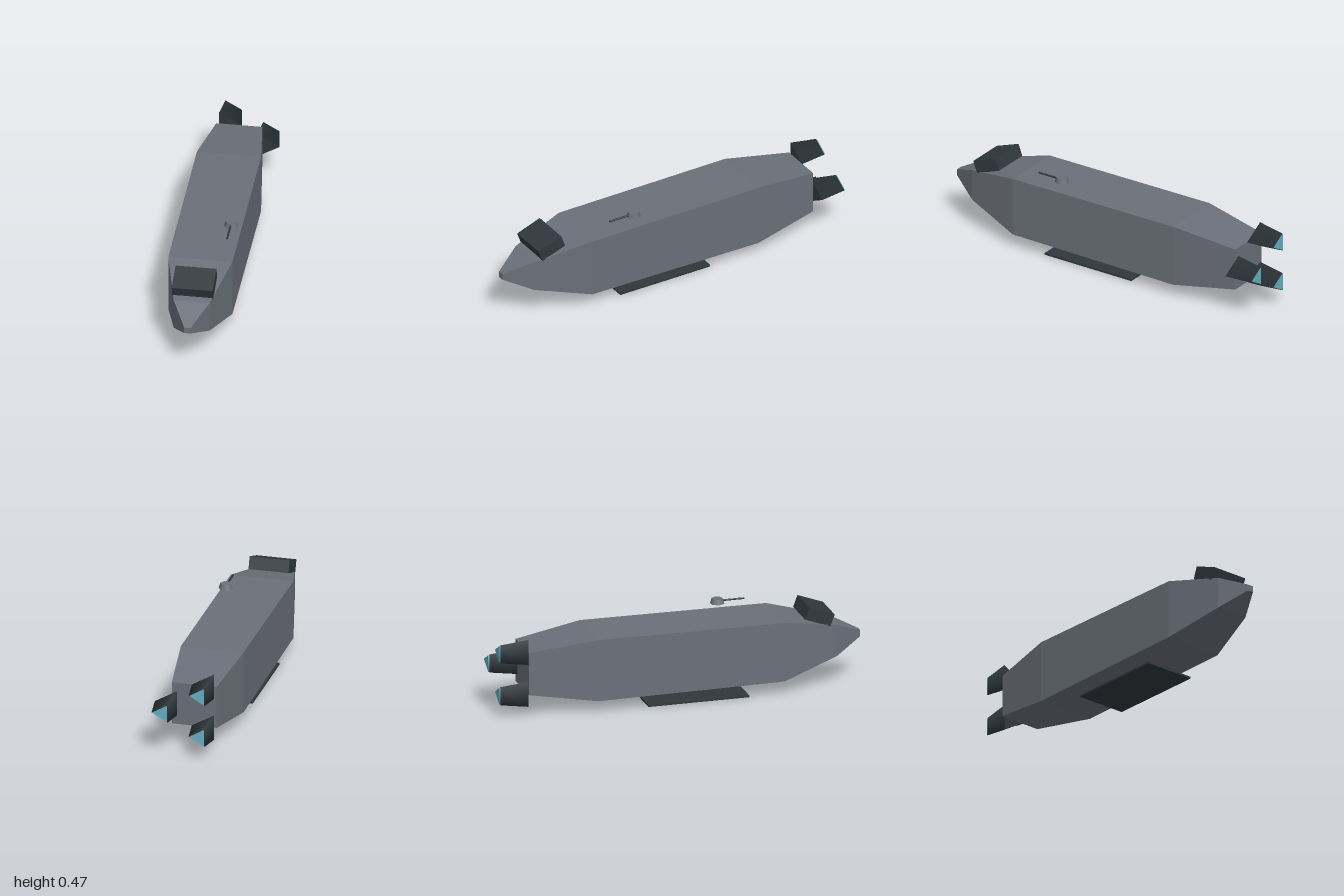
import * as THREE from 'three';

const CX = -0.023; // centre line of the hull

function material(name, color, extra = {}) {
  const m = new THREE.MeshStandardMaterial({ color, ...extra });
  m.name = name;
  return m;
}

// Lofts rectangular sections [z, left, right, bottom, top], ordered aft to bow
function loftBoxes(sections) {
  const rings = sections.map(([z, l, r, b, t]) => [[r, b, z], [r, t, z], [l, t, z], [l, b, z]]);
  const pos = [];
  const quad = (a, b, c, d) => pos.push(...a, ...b, ...c, ...a, ...c, ...d);
  for (let s = 0; s < rings.length - 1; s++) {
    const p = rings[s], q = rings[s + 1];
    for (let i = 0; i < 4; i++) {
      const j = (i + 1) % 4;
      quad(p[i], p[j], q[j], q[i]);
    }
  }
  quad(...rings[rings.length - 1]);
  quad(...[...rings[0]].reverse());
  const geo = new THREE.BufferGeometry();
  geo.setAttribute('position', new THREE.Float32BufferAttribute(pos, 3));
  geo.computeVertexNormals();
  return geo;
}

// Three-sided frustum along z, one corner toward +x, narrow end aft
function triangleFrustum(rAft, rFore, length) {
  return new THREE.CylinderGeometry(rAft, rFore, length, 3).rotateY(Math.PI / 2).rotateX(-Math.PI / 2);
}

export function createModel() {
  const group = new THREE.Group();
  const hullGrey = material('hull grey', 0x6a6f79, { flatShading: true });
  const turretGrey = material('turret grey', 0x6a6f79);
  const dark = material('dark slate', 0x2f383c);
  const glow = material('engine glow', 0x66b0c2);

  const add = (name, geo, mat, x, y, z, parent = group) => {
    const mesh = new THREE.Mesh(geo, mat);
    mesh.name = name;
    mesh.position.set(x, y, z);
    parent.add(mesh);
    return mesh;
  };

  // Hull
  add('hull', loftBoxes([
    [-0.845, CX - 0.122, CX + 0.122, 0.122, 0.355],
    [-0.48, CX - 0.17, CX + 0.17, 0.068, 0.407],
    [0.54, CX - 0.17, CX + 0.17, 0.077, 0.401],
    [0.85, CX - 0.095, CX + 0.095, 0.163, 0.335],
    [1.0, CX - 0.017, CX + 0.017, 0.233, 0.267],
  ]), hullGrey, 0, 0, 0);

  // Bridge, tilted along the bow slope
  const bridge = add('bridge', new THREE.BoxGeometry(0.217, 0.068, 0.148), dark, CX, 0.393, 0.752);
  bridge.rotation.x = 0.35;

  // Plate under the belly
  add('bellyPlate', new THREE.BoxGeometry(0.29, 0.01, 0.552), dark, CX, 0.005, 0.078);

  // Turret and its barrel
  const turret = new THREE.Group();
  turret.name = 'turret';
  turret.position.set(0.099, 0.457, 0.259);
  group.add(turret);
  add('turretBase', new THREE.CylinderGeometry(0.03, 0.039, 0.028, 6).rotateY(Math.PI / 6),
    turretGrey, 0, 0, 0, turret);
  add('barrel', new THREE.CylinderGeometry(0.005, 0.005, 0.145, 8).rotateX(Math.PI / 2),
    dark, 0, 0, 0.075, turret);

  // Three engines in a triangle, each with a glowing exhaust
  for (let i = 0; i < 3; i++) {
    const a = (i * 2 * Math.PI) / 3;
    const engine = new THREE.Group();
    engine.name = 'engine' + (i + 1);
    engine.position.set(CX + 0.134 * Math.cos(a), 0.238 + 0.134 * Math.sin(a), 0);
    group.add(engine);
    add('nozzle', triangleFrustum(0.058, 0.08, 0.149), dark, 0, 0, -0.9195, engine);
    add('exhaust', triangleFrustum(0.053, 0.053, 0.008), glow, 0, 0, -0.996, engine);
  }

  return group;
}
